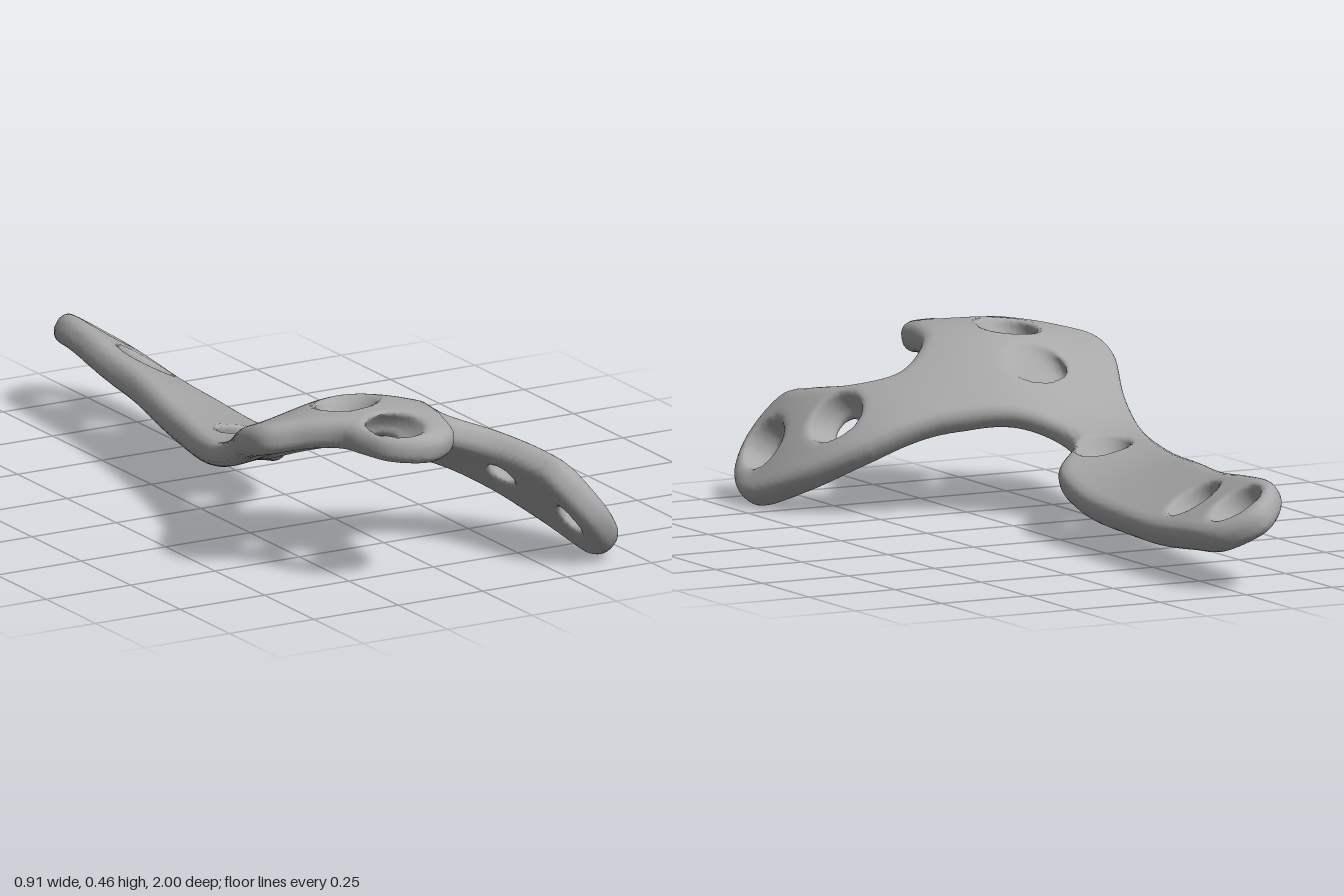
import * as THREE from 'three';

// Plan outline of the plate as [x, z] points, walked around once
const OUTLINE = [
  [-0.05, -1], [0.04, -0.93], [0.055, -0.76], [0.04, -0.39], [0.01, -0.1], [-0.03, 0.06], [-0.125, 0.16],
  [-0.135, 0.23], [-0.07, 0.33], [0.085, 0.435], [0.275, 0.535], [0.385, 0.67], [0.44, 0.84], [0.415, 0.95],
  [0.34, 0.997], [0.27, 0.96], [0.24, 0.85], [0.185, 0.72], [0.1, 0.66], [0.015, 0.71], [-0.02, 0.84],
  [-0.045, 0.93], [-0.125, 0.97], [-0.235, 0.93], [-0.28, 0.85], [-0.3, 0.79], [-0.365, 0.72], [-0.445, 0.65],
  [-0.455, 0.56], [-0.4, 0.4], [-0.34, 0.165], [-0.27, -0.13], [-0.195, -0.5], [-0.165, -0.76], [-0.135, -0.93],
];

// Heights of the plate's middle surface as [x, z, y]
const HEIGHTS = [
  [-0.05, -1, 0.195], [-0.16, -0.85, 0.26], [0.05, -0.85, 0.125], [-0.18, -0.6, 0.23], [0.04, -0.6, 0.11],
  [-0.2, -0.4, 0.22], [0.03, -0.4, 0.11], [-0.25, -0.2, 0.21], [0.01, -0.2, 0.115], [-0.27, 0, 0.203],
  [-0.03, 0, 0.145], [-0.32, 0.12, 0.21], [-0.14, 0.2, 0.215], [-0.34, 0.25, 0.23], [-0.1, 0.3, 0.25],
  [-0.38, 0.38, 0.275], [-0.15, 0.4, 0.31], [-0.43, 0.5, 0.335], [-0.15, 0.5, 0.375], [-0.43, 0.63, 0.382],
  [-0.2, 0.62, 0.42], [-0.3, 0.78, 0.408], [-0.1, 0.78, 0.42], [-0.04, 0.65, 0.4], [-0.15, 0.96, 0.392],
  [0.05, 0.42, 0.25], [0.08, 0.67, 0.35], [0.2, 0.73, 0.3], [0.22, 0.5, 0.195], [0.28, 0.67, 0.215],
  [0.25, 0.9, 0.285], [0.37, 0.63, 0.085], [0.43, 0.85, 0.03], [0.36, 0.88, 0.135], [0.34, 0.99, 0.155],
];

// Screw holes: x, z and the sideways lean of the axis
const HOLES = [
  [-0.055, -0.88, 0, 0], [-0.06, -0.645, 0, 0], [-0.175, 0.07, 0, 0.6], [-0.22, 0.445, 1.1, 0.9],
  [-0.225, 0.66, 0.7, 0], [-0.18, 0.83, 0, 0.9], [0.262, 0.68, 0, 0], [0.355, 0.88, 0, 0],
];

// Smooth thin-plate surface through the height points
function fitSurface(points) {
  const n = points.length, size = n + 3;
  const kernel = (dx, dz) => { const r = dx * dx + dz * dz; return r > 1e-12 ? r * Math.log(r) : 0; };
  const m = Array.from({ length: size }, () => new Array(size + 1).fill(0));
  points.forEach(([x, z, y], i) => {
    points.forEach((q, j) => { m[i][j] = kernel(x - q[0], z - q[1]); });
    m[i][i] += 0.008;
    [1, x, z].forEach((v, k) => { m[i][n + k] = v; m[n + k][i] = v; });
    m[i][size] = y;
  });
  for (let c = 0; c < size; c++) {
    let p = c;
    for (let r = c + 1; r < size; r++) if (Math.abs(m[r][c]) > Math.abs(m[p][c])) p = r;
    [m[c], m[p]] = [m[p], m[c]];
    for (let r = 0; r < size; r++) {
      if (r === c) continue;
      const f = m[r][c] / m[c][c];
      for (let k = c; k <= size; k++) m[r][k] -= f * m[c][k];
    }
  }
  const w = m.map((row, i) => row[size] / row[i]);
  return (x, z) => points.reduce((sum, q, i) => sum + w[i] * kernel(x - q[0], z - q[1]),
    w[n] + w[n + 1] * x + w[n + 2] * z);
}

const height = fitSurface(HEIGHTS), E = 0.01;
const slope = (x, z) => [(height(x + E, z) - height(x - E, z)) / (2 * E), (height(x, z + E) - height(x, z - E)) / (2 * E)];
// Length of a plan offset once laid on the sloping surface
const laidLength = (dx, dz, g) => Math.hypot(dx, dz, g[0] * dx + g[1] * dz);
const holeSlopes = HOLES.map(([x, z]) => slope(x, z));

// Signed distance to the outline along the surface, negative inside
function outlineDistance(poly, x, z) {
  let best = Infinity, inside = false, offset = [0, 0];
  for (let i = 0, j = poly.length - 1; i < poly.length; j = i++) {
    const a = poly[i], b = poly[j], ex = b.x - a.x, ez = b.z - a.z, px = x - a.x, pz = z - a.z;
    const t = Math.min(1, Math.max(0, (px * ex + pz * ez) / (ex * ex + ez * ez)));
    const dx = px - ex * t, dz = pz - ez * t, d = Math.hypot(dx, dz);
    if (d < best) { best = d; offset = [dx, dz]; }
    if ((a.z > z) !== (b.z > z) && x < ex * pz / ez + a.x) inside = !inside;
  }
  const length = laidLength(offset[0], offset[1], slope(x, z));
  return inside ? -length : length;
}

const halfThickness = (z) => 0.041 - 0.009 * Math.exp(-(((z - 0.28) / 0.16) ** 2));

// Flat plate with rounded rim and countersunk holes, as a distance function
function plateDistance(edge, x, w, z) {
  const h = halfThickness(z), r = h * 0.85;
  const qx = edge + r, qy = Math.abs(w) - h + r;
  let d = Math.hypot(Math.max(qx, 0), Math.max(qy, 0)) + Math.min(Math.max(qx, qy), 0) - r;
  const t = Math.min(1, Math.max(0, (w + h * 0.5) / (h * 1.5)));
  const radius = 0.044 + 0.031 * Math.sqrt(t);
  HOLES.forEach(([hx, hz, lx, lz], i) => {
    const away = laidLength(x - hx - lx * w, z - hz - lz * w, holeSlopes[i]);
    d = Math.max(d, (radius - away) * 0.85);
  });
  return d;
}

// Skin the distance function on a regular grid
function skin(min, count, cell, sample) {
  const [nx, ny, nz] = count;
  const id = (i, j, k) => i + nx * (j + ny * k);
  const value = new Float32Array(nx * ny * nz);
  for (let k = 0; k < nz; k++) for (let i = 0; i < nx; i++) {
    const column = sample(min[0] + i * cell, min[2] + k * cell);
    for (let j = 0; j < ny; j++) value[id(i, j, k)] = column(min[1] + j * cell);
  }
  const step = [1, nx, nx * ny];
  const vertexOf = new Int32Array(value.length).fill(-1), positions = [], index = [];
  // One vertex per cell that the surface crosses
  for (let k = 0; k < nz - 1; k++) for (let j = 0; j < ny - 1; j++) for (let i = 0; i < nx - 1; i++) {
    const base = id(i, j, k), sum = [0, 0, 0];
    let hits = 0;
    for (let a = 0; a < 3; a++) for (let s = 0; s < 4; s++) {
      const b = (a + 1) % 3, c = (a + 2) % 3, ob = s & 1, oc = s >> 1;
      const p = base + ob * step[b] + oc * step[c], v0 = value[p], v1 = value[p + step[a]];
      if ((v0 < 0) === (v1 < 0)) continue;
      sum[a] += v0 / (v0 - v1); sum[b] += ob; sum[c] += oc;
      hits++;
    }
    if (!hits) continue;
    vertexOf[base] = positions.length / 3;
    [i, j, k].forEach((g, a) => positions.push(min[a] + (g + sum[a] / hits) * cell));
  }
  // One quad per crossed grid edge
  for (let k = 1; k < nz - 1; k++) for (let j = 1; j < ny - 1; j++) for (let i = 1; i < nx - 1; i++) {
    const p = id(i, j, k);
    for (let a = 0; a < 3; a++) {
      const inside = value[p] < 0;
      if (inside === (value[p + step[a]] < 0)) continue;
      const sb = step[(a + 1) % 3], sc = step[(a + 2) % 3];
      const q = [p - sb - sc, p - sc, p, p - sb].map((c) => vertexOf[c]);
      if (!inside) q.reverse();
      index.push(q[0], q[1], q[2], q[0], q[2], q[3]);
    }
  }
  const geometry = new THREE.BufferGeometry();
  geometry.setAttribute('position', new THREE.Float32BufferAttribute(positions, 3));
  geometry.setIndex(index);
  return geometry;
}

export function createModel() {
  const group = new THREE.Group();
  const steel = new THREE.MeshStandardMaterial({ color: 0xa8a8a8 });
  steel.name = 'grey steel';

  const curve = new THREE.CatmullRomCurve3(OUTLINE.map(([x, z]) => new THREE.Vector3(x, 0, z)), true);
  const poly = curve.getPoints(180).slice(0, -1);
  const cell = 0.0085;
  const geometry = skin([-0.5, -0.06, -1.04], [118, 15, 246], cell, (x, z) => {
    const edge = outlineDistance(poly, x, z);
    return (w) => plateDistance(edge, x, w, z);
  });

  // Bend the flat plate onto the curved middle surface
  const pos = geometry.attributes.position;
  const normal = new THREE.Vector3(), point = new THREE.Vector3();
  for (let i = 0; i < pos.count; i++) {
    const x = pos.getX(i), w = pos.getY(i), z = pos.getZ(i), g = slope(x, z);
    normal.set(-g[0], 1, -g[1]).normalize();
    point.set(x, height(x, z), z).addScaledVector(normal, w);
    pos.setXYZ(i, point.x, point.y, point.z);
  }

  // Centre and stand on the ground
  geometry.computeBoundingBox();
  const box = geometry.boundingBox, mid = box.getCenter(new THREE.Vector3());
  geometry.translate(-mid.x, -box.min.y, -mid.z);
  geometry.computeVertexNormals();

  const plate = new THREE.Mesh(geometry, steel);
  plate.name = 'contouredPlate';
  group.add(plate);
  return group;
}
